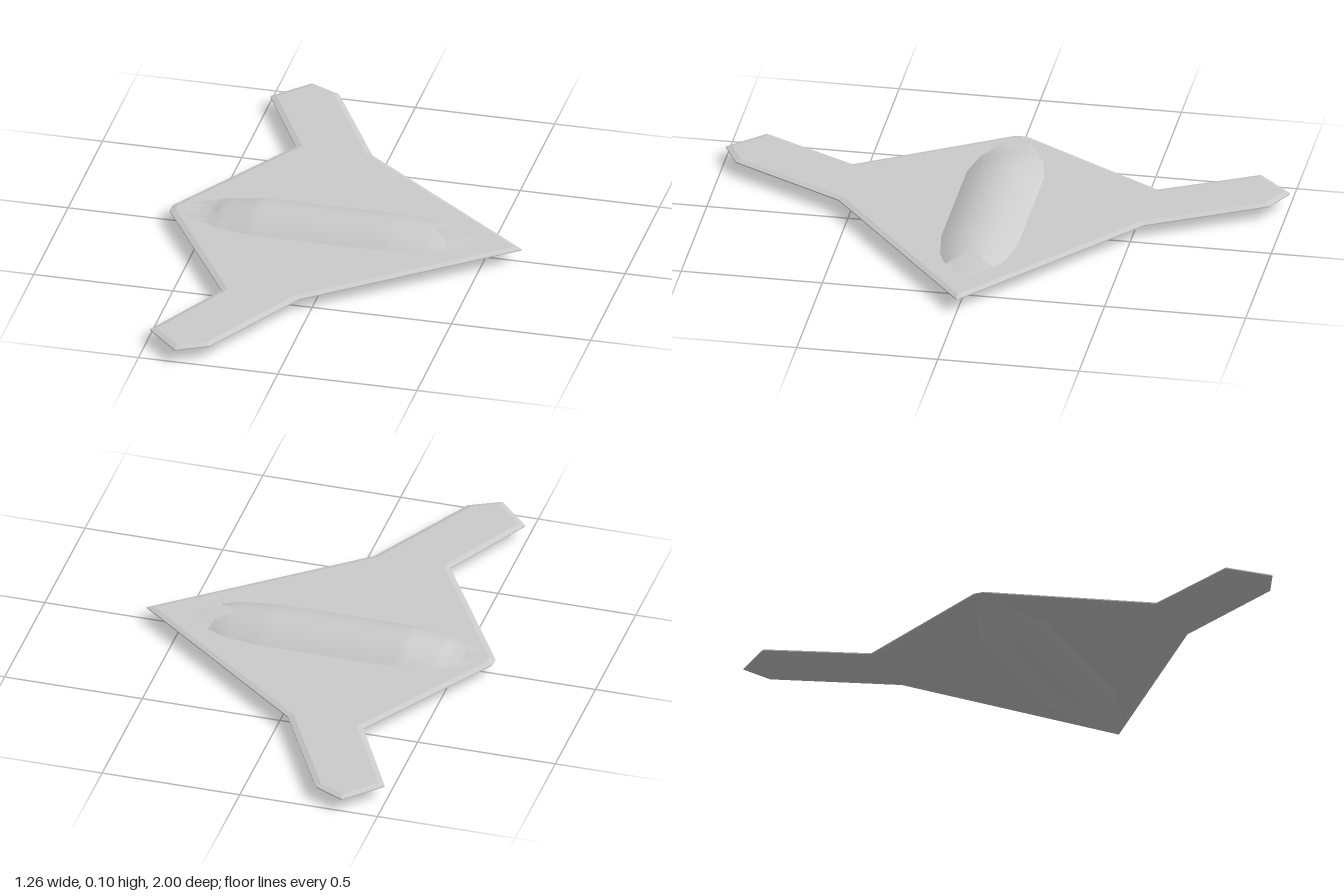
import * as THREE from 'three';

const material = new THREE.MeshStandardMaterial({ color: 0xcccccc, side: THREE.DoubleSide });

// Piecewise linear lookup in rows of [x, value, value...]
function lookup(rows, x, column) {
  let i = 0;
  while (i < rows.length - 2 && x > rows[i + 1][0]) i++;
  const a = rows[i], b = rows[i + 1];
  const k = THREE.MathUtils.clamp((x - a[0]) / (b[0] - a[0]), 0, 1);
  return THREE.MathUtils.lerp(a[column], b[column], k);
}

// Long blister along x: rows give [x, crest height, half width].
// rear(t) and front(t) give the end of the skin across the width, t = -1..1.
function blister(name, rows, base, rear, front) {
  const nx = 64, nt = 32, positions = [], indices = [];
  for (let i = 0; i <= nx; i++) {
    for (let j = 0; j <= nt; j++) {
      const t = (j / nt) * 2 - 1;
      const x = THREE.MathUtils.lerp(rear(t), front(t), i / nx);
      const y = base + (lookup(rows, x, 1) - base) * (1 - t * t);
      positions.push(x, y, lookup(rows, x, 2) * t);
    }
  }
  const down = rows[1][1] < base;
  for (let i = 0; i < nx; i++) {
    for (let j = 0; j < nt; j++) {
      const a = i * (nt + 1) + j, b = a + 1, c = a + nt + 1, d = c + 1;
      if (down) indices.push(a, c, b, b, c, d);
      else indices.push(a, b, c, b, d, c);
    }
  }
  const geometry = new THREE.BufferGeometry();
  geometry.setAttribute('position', new THREE.Float32BufferAttribute(positions, 3));
  geometry.setIndex(indices);
  geometry.computeVertexNormals();
  const mesh = new THREE.Mesh(geometry, material);
  mesh.name = name;
  return mesh;
}

// Thin wing plate with sharp bevelled edges
function makeWing() {
  const half = [[-0.04, 0.54], [-0.26, 0.945], [-0.37, 1], [-0.49, 0.875], [-0.315, 0.54], [-0.63, 0.02]];
  const mirrored = half.map(([x, z]) => [x, -z]).reverse();
  const outline = [[0.63, 0], ...half, ...mirrored].map(([x, z]) => new THREE.Vector2(x, z));
  const depth = 0.004, bevel = 0.02;
  const geometry = new THREE.ExtrudeGeometry(new THREE.Shape(outline), {
    depth, bevelEnabled: true, bevelThickness: 0.006, bevelSize: bevel, bevelOffset: -bevel, bevelSegments: 1,
  });
  geometry.translate(0, 0, -depth / 2).rotateX(Math.PI / 2).translate(0, 0.048, 0);
  const mesh = new THREE.Mesh(geometry, material);
  mesh.name = 'wing';
  return mesh;
}

// Wall closing the duct inside the upper fairing
function makeBulkhead(name, x, crest, width) {
  const points = [];
  for (let j = 0; j <= 16; j++) {
    const t = j / 8 - 1;
    points.push(new THREE.Vector2(width * t, 0.05 + (crest - 0.05) * (1 - t * t)));
  }
  const mesh = new THREE.Mesh(new THREE.ShapeGeometry(new THREE.Shape(points)), material);
  mesh.rotation.y = Math.PI / 2;
  mesh.position.x = x;
  mesh.name = name;
  return mesh;
}

export function createModel() {
  const model = new THREE.Group();
  model.name = 'flyingWingAircraft';
  model.add(makeWing());

  // Upper fairing, with a V-notched intake lip and a notched exhaust
  const upper = [
    [-0.61, 0.052, 0.04], [-0.52, 0.062, 0.085], [-0.475, 0.068, 0.1], [-0.45, 0.078, 0.115], [-0.32, 0.1, 0.14],
    [0.18, 0.1, 0.14], [0.315, 0.09, 0.12], [0.35, 0.086, 0.105], [0.39, 0.079, 0.085],
  ];
  const exhaustLip = (t) => (Math.abs(t) < 0.45 ? -0.52 : -0.52 - 0.09 * Math.min(1, (Math.abs(t) - 0.45) / 0.12));
  const intakeLip = (t) => 0.315 + 0.055 * Math.min(1, Math.abs(t) / 0.5) + 0.03 * Math.max(0, Math.abs(t) - 0.5);
  model.add(blister('upperFairing', upper, 0.054, exhaustLip, intakeLip));

  // Low ridge running from tail to nose, also the floor of the duct
  const deck = [[-0.625, 0.049, 0.015], [-0.5, 0.058, 0.1], [0.38, 0.06, 0.12], [0.63, 0.048, 0.002]];
  model.add(blister('centerDeck', deck, 0.048, () => -0.625, () => 0.63));

  // Rounded belly
  const belly = [
    [-0.63, 0.046, 0.015], [-0.32, 0.002, 0.15], [0.24, 0.002, 0.15], [0.47, 0.02, 0.1], [0.63, 0.047, 0.002],
  ];
  model.add(blister('belly', belly, 0.048, () => -0.63, () => 0.63));

  model.add(makeBulkhead('intakeBulkhead', 0.22, 0.096, 0.13));
  model.add(makeBulkhead('exhaustBulkhead', -0.45, 0.077, 0.11));

  // Rest the belly on the ground
  const box = new THREE.Box3().setFromObject(model);
  for (const part of model.children) part.position.y -= box.min.y;
  return model;
}
